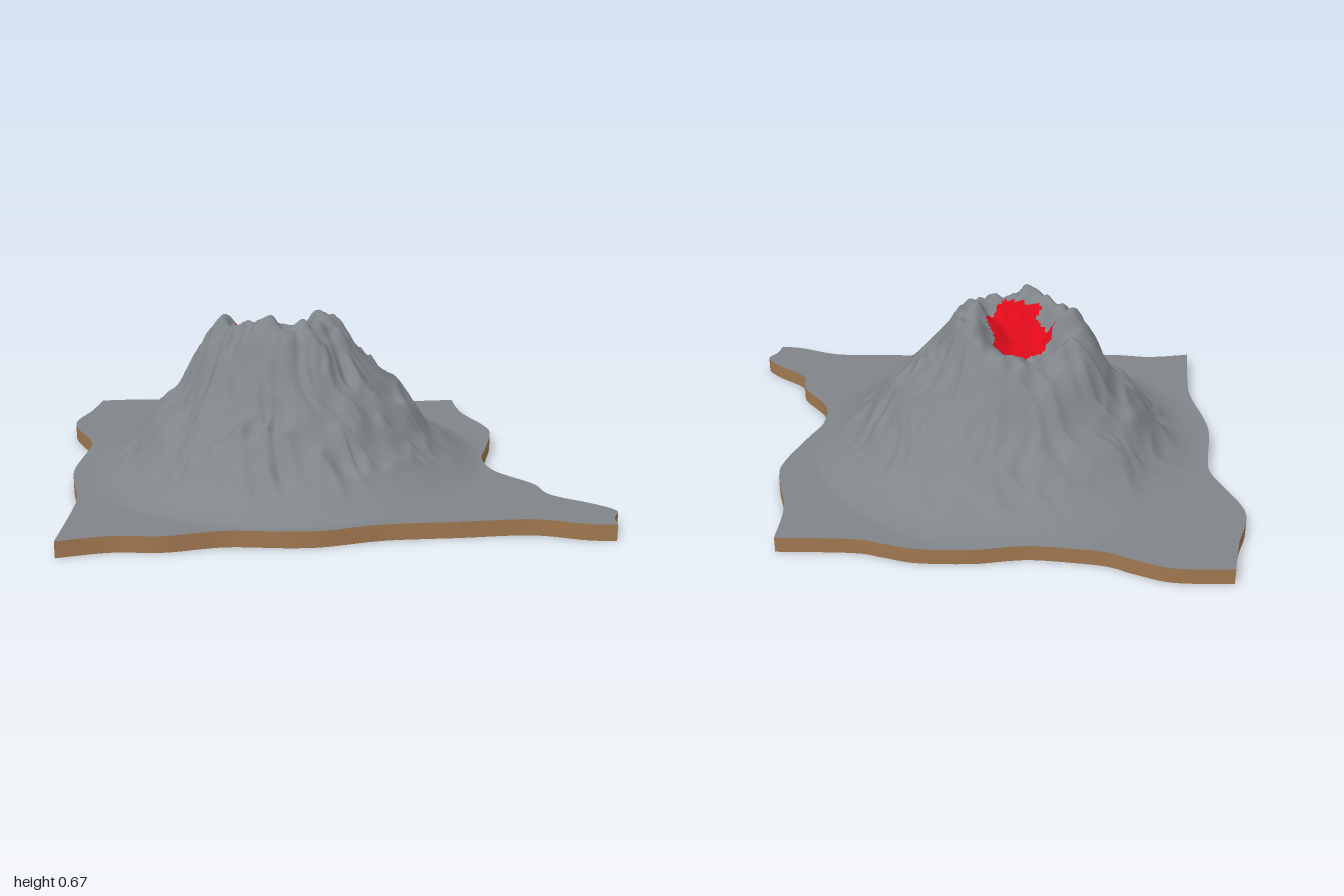
import * as THREE from 'three';

const N = 160;          // grid cells per side
const THICK = 0.06;     // shell thickness, also the height of the plain
const CX = -0.14, CZ = 0;  // crater axis

const spline = (pts) => new THREE.SplineCurve(pts.map(([x, y]) => new THREE.Vector2(x, y)));

// Wavy outline of the base as (x, z): back and front run left to right, sides run back to front
const back = spline([[-0.91, -0.88], [-0.7, -0.88], [-0.57, -0.835], [-0.45, -0.785], [-0.21, -0.765],
  [0, -0.79], [0.2, -0.79], [0.32, -0.76], [0.43, -0.735], [0.71, -0.735]]);
const front = spline([[-0.95, 0.845], [-0.77, 0.815], [-0.59, 0.832], [-0.385, 0.805], [-0.18, 0.832],
  [-0.05, 0.835], [0.165, 0.798], [0.42, 0.798], [0.68, 0.798], [0.86, 0.86], [0.96, 0.875]]);
const west = spline([[-0.91, -0.88], [-0.945, -0.72], [-1, -0.51], [-0.915, -0.25], [-0.915, -0.13],
  [-0.95, 0.13], [-0.915, 0.4], [-0.915, 0.535], [-0.95, 0.845]]);
const east = spline([[0.71, -0.735], [0.71, -0.53], [0.765, -0.32], [0.765, -0.2], [0.7, 0], [0.655, 0.13],
  [0.67, 0.28], [0.78, 0.44], [0.81, 0.56], [0.94, 0.67], [1, 0.745], [0.97, 0.81], [0.96, 0.875]]);

// Slope heights at every 0.1 of radius, in four directions
const profiles = {
  east: [0.5, 0.58, 0.64, 0.505, 0.415, 0.305, 0.18, 0.105, 0.06, 0.06],
  front: [0.5, 0.59, 0.64, 0.52, 0.37, 0.275, 0.19, 0.115, 0.062, 0.06],
  west: [0.5, 0.49, 0.61, 0.52, 0.345, 0.245, 0.13, 0.075, 0.06, 0.06],
  back: [0.5, 0.48, 0.54, 0.42, 0.275, 0.195, 0.13, 0.08, 0.06, 0.06],
};
for (const k in profiles) profiles[k] = spline(profiles[k].map((h, i) => [i / 10, h]));
const profile = (k, r) => profiles[k].getPoint(Math.min(r / 0.9, 1)).y;

// Red lava area as (x, z)
const lava = [[-0.14, -0.175], [-0.06, -0.1], [-0.06, -0.05], [-0.03, 0], [-0.03, 0.08], [-0.1, 0.14],
  [-0.25, 0.12], [-0.22, 0.09], [-0.31, 0.01], [-0.28, -0.02], [-0.2, -0.06]];
function inLava(x, z) {
  let inside = false;
  lava.forEach(([ax, az], i) => {
    const [bx, bz] = lava[(i + 1) % lava.length];
    if ((az > z) !== (bz > z) && x < ax + (bx - ax) * (z - az) / (bz - az)) inside = !inside;
  });
  return inside;
}

// Smooth 3D value noise in -1..1
const hash = (x, y, z) => {
  let h = Math.imul(x, 374761393) ^ Math.imul(y, 668265263) ^ Math.imul(z, 1274126177);
  h = Math.imul(h ^ (h >>> 13), 1103515245);
  return ((h ^ (h >>> 16)) >>> 0) / 2147483648 - 1;
};
function noise(x, y, z) {
  const c = [x, y, z].map(Math.floor);
  const f = [x, y, z].map((v, i) => { const t = v - c[i]; return t * t * (3 - 2 * t); });
  let sum = 0;
  for (let k = 0; k < 8; k++) {
    const o = [k & 1, (k >> 1) & 1, k >> 2];
    const w = o.reduce((p, b, i) => p * (b ? f[i] : 1 - f[i]), 1);
    sum += w * hash(c[0] + o[0], c[1] + o[1], c[2] + o[2]);
  }
  return sum;
}

const step = (a, b, v) => THREE.MathUtils.smoothstep(v, a, b);

function height(x, z) {
  const dx = x - CX, dz = z - CZ, r = Math.hypot(dx, dz) || 1e-6;
  if (r > 0.9) return THICK;
  const c = dx / r, s = dz / r;
  let h = c * c * profile(c > 0 ? 'east' : 'west', r) + s * s * profile(s > 0 ? 'front' : 'back', r);
  // breaches in the rim: a wide one towards -x -z, a narrow one opposite
  const rim = Math.exp(-(((r - 0.19) / 0.08) ** 2));
  const diag = (c + s) / Math.SQRT2;
  h -= rim * (0.07 * step(0.75, 1, -diag) + 0.04 * step(0.95, 1, diag));
  // jagged crest
  h += rim * (0.025 * noise(c * 4 + 9, s * 4, r * 8) + 0.03 * noise(x * 22, z * 22, 7));
  // gullies run down the slope and curl slightly
  const a = Math.atan2(dz, dx) + 0.9 * r + 0.2 * noise(x * 6, z * 6, 3);
  const gc = Math.cos(a), gs = Math.sin(a);
  const ridge = 0.45 - Math.abs(noise(gc * 4.5, gs * 4.5, r * 5)) * 1.4;
  const fine = 0.4 - Math.abs(noise(gc * 9 + 20, gs * 9, r * 9));
  const rough = 0.3 - Math.abs(noise(x * 11, z * 11, h * 6));
  const fade = step(0.14, 0.3, r) * (1 - step(0.48, 0.76, r)) * (s < 0 ? 1 + 0.5 * s : 1);
  h += fade * (0.04 * ridge + 0.025 * fine + 0.03 * rough);
  return Math.max(THICK, h);
}

// Point of the base blended from its four edges
function basePoint(u, v) {
  const B = back.getPointAt(u), F = front.getPointAt(u), W = west.getPointAt(v), E = east.getPointAt(v);
  const p = [back.points[0], back.points.at(-1), front.points[0], front.points.at(-1)];
  const mix = (k) => (1 - v) * B[k] + v * F[k] + (1 - u) * W[k] + u * E[k]
    - (1 - u) * (1 - v) * p[0][k] - u * (1 - v) * p[1][k] - (1 - u) * v * p[2][k] - u * v * p[3][k];
  return [mix('x'), mix('y')];
}

function makeGeometry(positions, index) {
  const g = new THREE.BufferGeometry();
  g.setAttribute('position', new THREE.Float32BufferAttribute(positions, 3));
  g.setIndex(index);
  g.computeVertexNormals();
  return g;
}

export function createModel() {
  const group = new THREE.Group();
  const rock = new THREE.MeshStandardMaterial({ color: 0x80858a });
  const red = new THREE.MeshStandardMaterial({ color: 0xe00a1a });
  const brown = new THREE.MeshStandardMaterial({ color: 0xa07850 });
  const add = (name, geometry, material) => {
    const mesh = new THREE.Mesh(geometry, material);
    mesh.name = name;
    group.add(mesh);
  };

  // Height grid
  const top = [], bottom = [], rockIndex = [], lavaIndex = [], underIndex = [];
  for (let j = 0; j <= N; j++) for (let i = 0; i <= N; i++) {
    const [x, z] = basePoint(i / N, j / N);
    const y = height(x, z);
    top.push(x, y, z);
    bottom.push(x, y - THICK, z);
  }
  const id = (i, j) => j * (N + 1) + i;
  for (let j = 0; j < N; j++) for (let i = 0; i < N; i++) {
    const a = id(i, j), b = id(i + 1, j), c = id(i, j + 1), d = id(i + 1, j + 1);
    const x = (top[a * 3] + top[d * 3]) / 2, z = (top[a * 3 + 2] + top[d * 3 + 2]) / 2;
    (inLava(x, z) ? lavaIndex : rockIndex).push(a, c, b, b, c, d);
    underIndex.push(a, b, c, b, d, c);
  }

  // Mountain and lava share vertices so the shading runs across their border
  const mountain = makeGeometry(top, [...rockIndex, ...lavaIndex]);
  const crater = mountain.clone();
  mountain.setIndex(rockIndex);
  crater.setIndex(lavaIndex);
  add('mountain', mountain, rock);
  add('craterLava', crater, red);
  add('hollowUnderside', makeGeometry(bottom, underIndex), brown);

  // Side walls of the base, each walked left to right as seen from outside
  const walls = {
    frontEdge: (k) => id(k, N), eastEdge: (k) => id(N, N - k),
    backEdge: (k) => id(N - k, 0), westEdge: (k) => id(0, k),
  };
  for (const [name, at] of Object.entries(walls)) {
    const pos = [], index = [];
    for (let k = 0; k <= N; k++) {
      const v = at(k) * 3;
      pos.push(...top.slice(v, v + 3), ...bottom.slice(v, v + 3));
      if (k < N) index.push(2 * k, 2 * k + 1, 2 * k + 2, 2 * k + 1, 2 * k + 3, 2 * k + 2);
    }
    add(name, makeGeometry(pos, index), brown);
  }
  return group;
}
